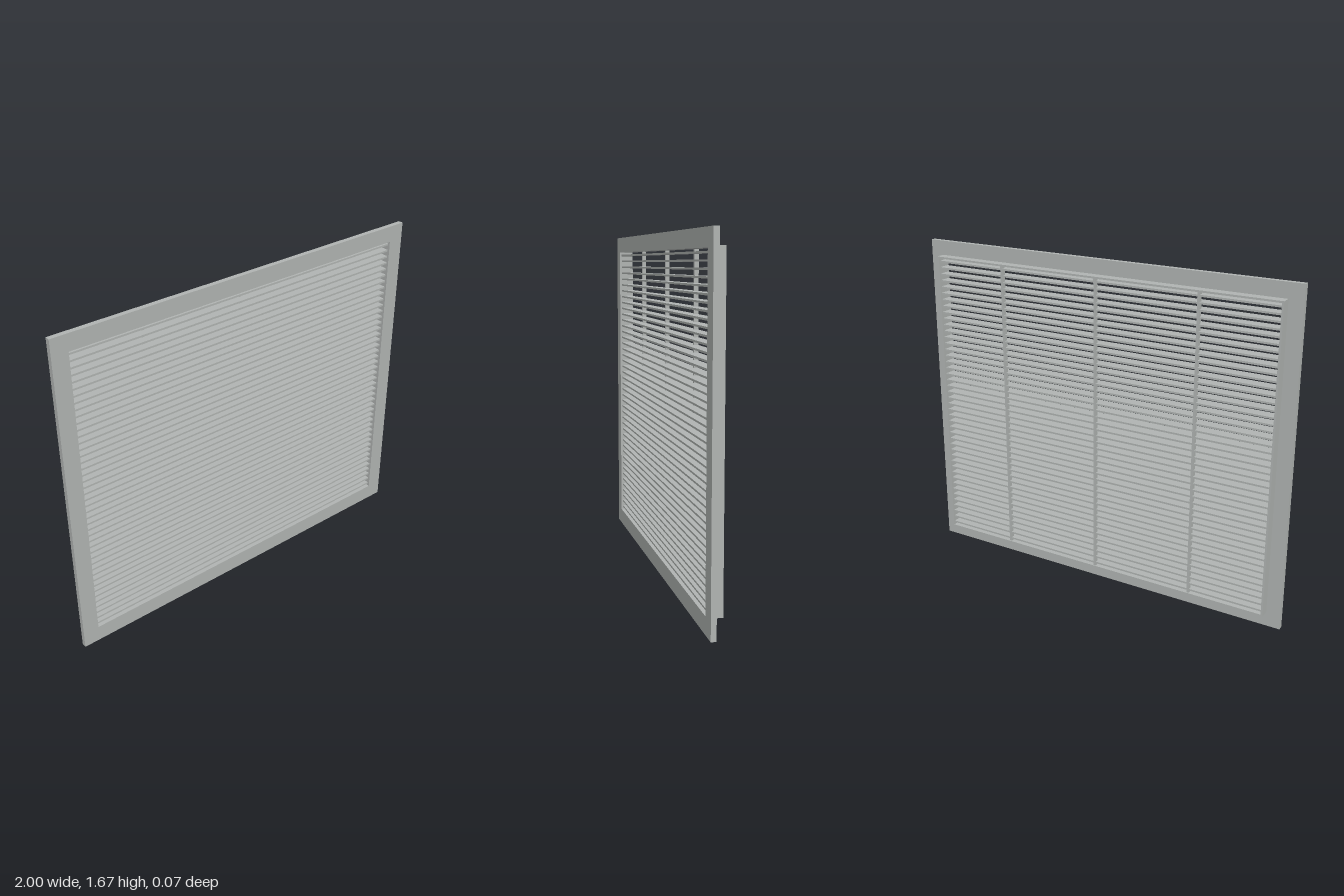
import * as THREE from 'three';

const WIDTH = 2, HEIGHT = 1.667, MID = HEIGHT / 2;
const OPEN_W = 1.838, OPEN_H = 1.504; // clear opening

// rectangular ring with an opening, from z0 to z1
function ring(w, h, z0, z1, material, name) {
  const rect = (Type, rw, rh) => {
    const p = new Type();
    p.moveTo(-rw / 2, -rh / 2);
    p.lineTo(rw / 2, -rh / 2);
    p.lineTo(rw / 2, rh / 2);
    p.lineTo(-rw / 2, rh / 2);
    p.closePath();
    return p;
  };
  const shape = rect(THREE.Shape, w, h);
  shape.holes.push(rect(THREE.Path, OPEN_W, OPEN_H));
  const geometry = new THREE.ExtrudeGeometry(shape, { depth: z1 - z0, bevelEnabled: false });
  const mesh = new THREE.Mesh(geometry, material);
  mesh.position.set(0, MID, z0);
  mesh.name = name;
  return mesh;
}

export function createModel() {
  const model = new THREE.Group();
  model.name = 'ventGrille';
  const metal = new THREE.MeshStandardMaterial({ color: 0xb0b4b2 });
  metal.name = 'grey metal';

  // front flange and the collar behind it
  model.add(ring(WIDTH, HEIGHT, 0.012, 0.037, metal, 'flange'));
  model.add(ring(1.858, 1.522, -0.037, 0.012, metal, 'collar'));

  // horizontal slats
  const slats = new THREE.Group();
  slats.name = 'slats';
  const count = 45, pitch = OPEN_H / count;
  const slatGeometry = new THREE.BoxGeometry(OPEN_W, 0.009, 0.057);
  for (let i = 0; i < count; i++) {
    const slat = new THREE.Mesh(slatGeometry, metal);
    slat.name = 'slat';
    slat.position.set(0, MID + (i - (count - 1) / 2) * pitch, -0.0015);
    slats.add(slat);
  }
  model.add(slats);

  // upright bars that tie the slats together at the back
  const barGeometry = new THREE.BoxGeometry(0.012, OPEN_H, 0.02);
  for (const x of [-0.533, 0, 0.533]) {
    const bar = new THREE.Mesh(barGeometry, metal);
    bar.name = 'supportBar';
    bar.position.set(x, MID, -0.021);
    model.add(bar);
  }
  return model;
}
